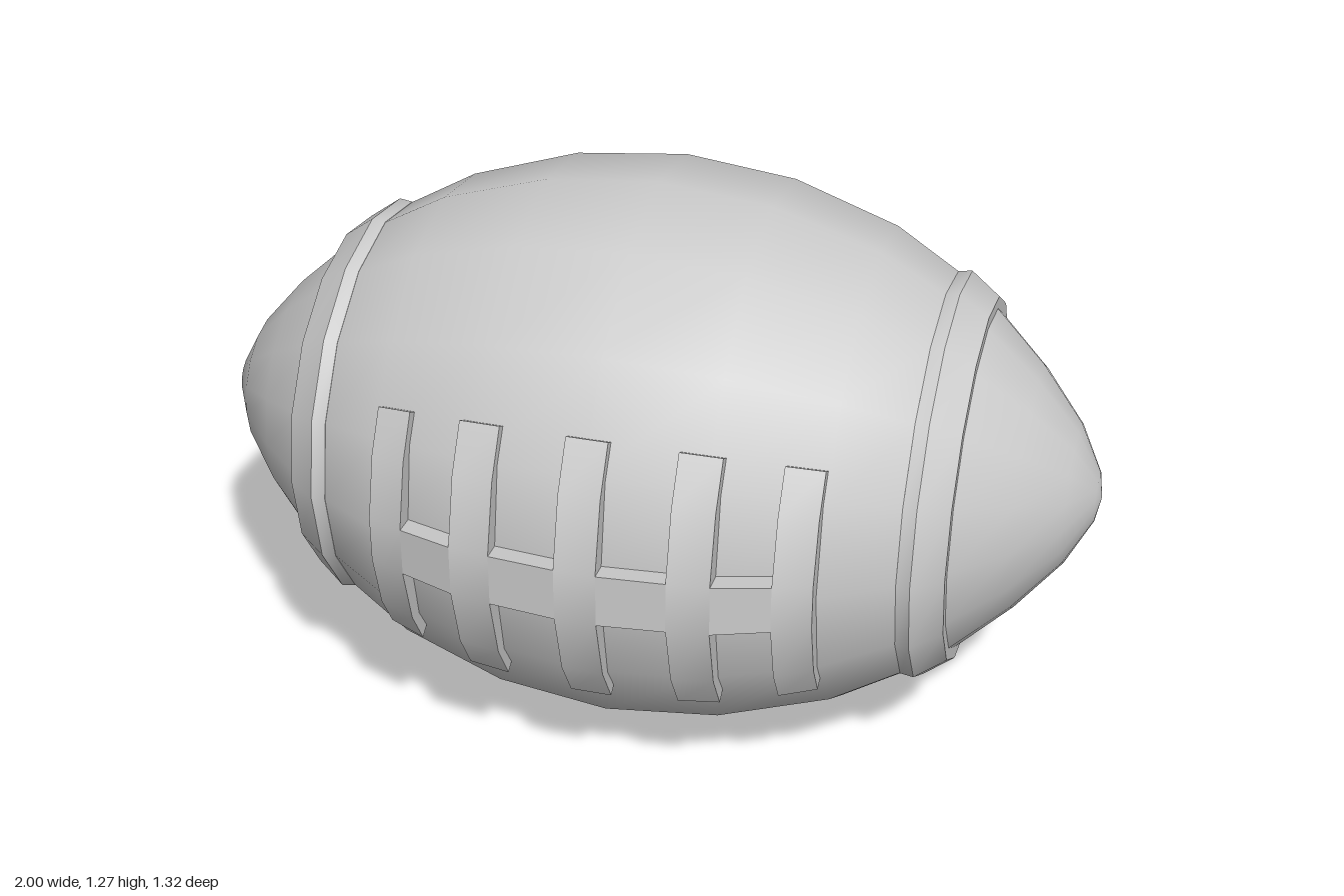
import * as THREE from 'three';
import { toCreasedNormals } from 'three/addons/utils/BufferGeometryUtils.js';

const SIDES = 16, CENTER_Y = 0.637;
const material = new THREE.MeshStandardMaterial({ color: 0xcccccc });

// Half profile of the ball: [distance along x, radius]
const HALF = [[0, 0.633], [0.25, 0.607], [0.487, 0.532], [0.63, 0.45], [0.72, 0.385],
  [0.84, 0.272], [0.936, 0.157], [0.99, 0.055], [1, 0]];
// Outer surface of the laces, same layout
const LACE = [[0, 0.667], [0.045, 0.666], [0.19, 0.652], [0.28, 0.64], [0.4, 0.602], [0.48, 0.572]];

// Straight-line lookup in a half profile
function radiusAt(table, x) {
  const a = Math.abs(x);
  const i = Math.max(1, table.findIndex(p => p[0] >= a - 1e-6));
  const [x0, r0] = table[i - 1], [x1, r1] = table[i];
  return r0 + (r1 - r0) * (a - x0) / (x1 - x0);
}

// Surface of revolution about the x axis, points as [x, radius] with x rising
function revolve(points) {
  const g = new THREE.LatheGeometry(points.map(([x, r]) => new THREE.Vector2(r, x)), SIDES);
  return g.rotateZ(-Math.PI / 2);
}

function addMesh(parent, name, geometry) {
  const mesh = new THREE.Mesh(geometry, material);
  mesh.name = name;
  parent.add(mesh);
  return mesh;
}

// Raised slab wrapped on the ball between x0 and x1, with the given angles in degrees
function wrappedSlab(x0, x1, angles) {
  const n = angles.length - 1;
  const g = new THREE.BoxGeometry(1, 1, 1, 1, n, 1);
  const p = g.attributes.position;
  for (let i = 0; i < p.count; i++) {
    const x = p.getX(i) < 0 ? x0 : x1;
    const deg = angles[Math.round((p.getY(i) + 0.5) * n)];
    const a = THREE.MathUtils.degToRad(deg);
    const flatten = 1 - 0.036 * (deg / 30) ** 2; // thinner toward the tips
    const r = p.getZ(i) > 0 ? radiusAt(LACE, x) * flatten : radiusAt(HALF, x) - 0.05;
    p.setXYZ(i, x, r * Math.sin(a), r * Math.cos(a));
  }
  return toCreasedNormals(g, 0.45);
}

function createLaces(name) {
  const laces = new THREE.Group();
  laces.name = name;
  const bars = [[-0.48, -0.4], [-0.28, -0.19], [-0.045, 0.045], [0.19, 0.28], [0.4, 0.48]];
  bars.forEach(([x0, x1], i) => {
    addMesh(laces, 'laceBar', wrappedSlab(x0, x1, [-30, -19.5, -5.3, 5.3, 19.5, 30]));
    // Piece of the long seam strip up to the next bar
    if (i < bars.length - 1) addMesh(laces, 'laceStrip', wrappedSlab(x1, bars[i + 1][0], [-5.3, 5.3]));
  });
  return laces;
}

export function createModel() {
  const ball = new THREE.Group();
  ball.name = 'ball';

  // Main body, pointed at both ends
  const left = HALF.slice(1).reverse().map(([x, r]) => [-x, r]);
  addMesh(ball, 'body', revolve([...left, ...HALF]));

  // Bevelled bands near the tips
  const band = [[0.625, 0.42], [0.63, 0.451], [0.66, 0.455], [0.725, 0.407], [0.725, 0.365]];
  addMesh(ball, 'leftBand', toCreasedNormals(revolve(band), 0.45));
  addMesh(ball, 'rightBand', toCreasedNormals(revolve(band), 0.45)).rotation.y = Math.PI;

  // Laces on the front and back
  ball.add(createLaces('frontLaces'));
  const back = createLaces('backLaces');
  back.rotation.y = Math.PI;
  ball.add(back);

  ball.position.y = CENTER_Y;
  const model = new THREE.Group();
  model.name = 'model';
  model.add(ball);
  return model;
}
